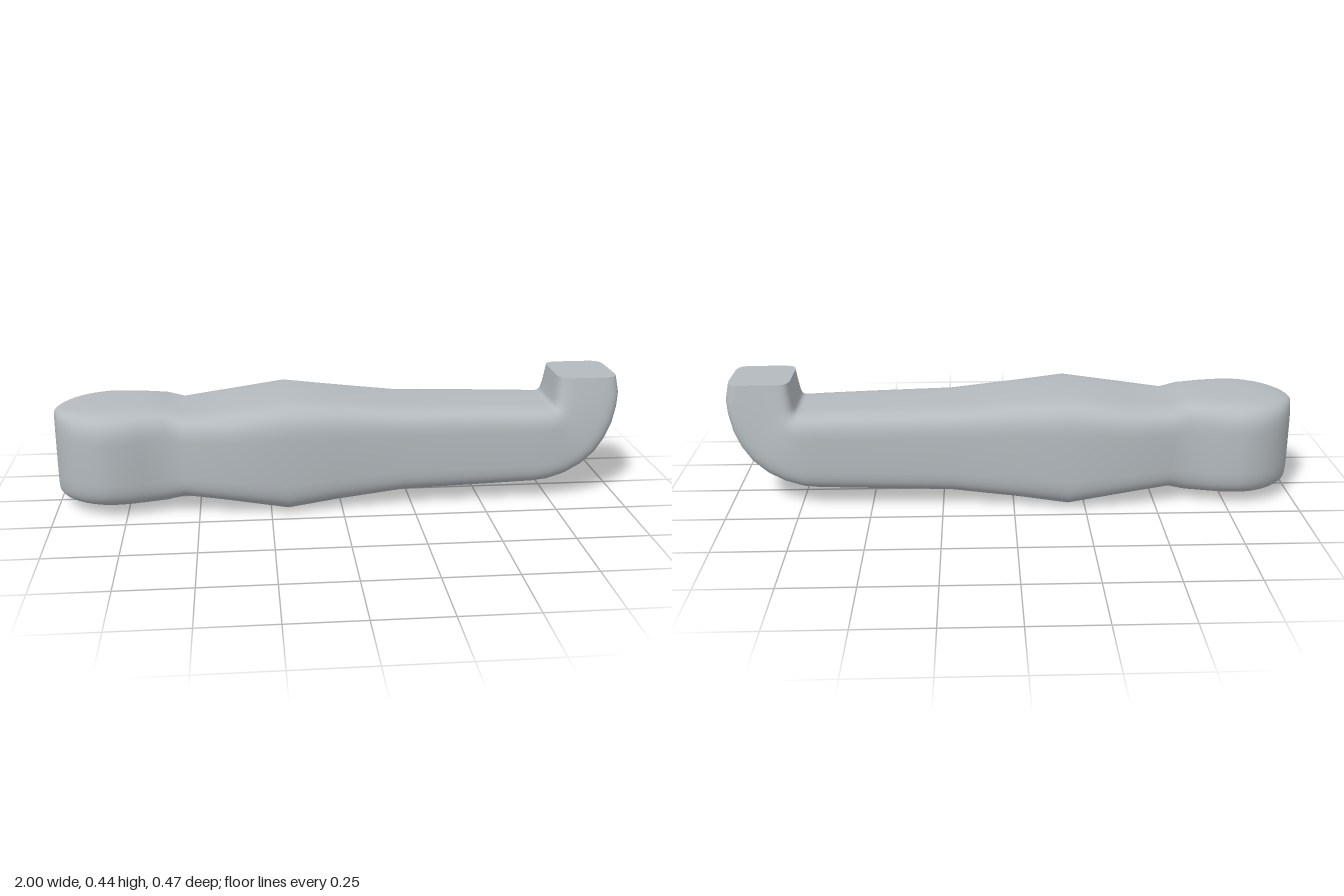
import * as THREE from 'three';
import { mergeVertices } from 'three/addons/utils/BufferGeometryUtils.js';

const SIDES = 48;

// Rounded-square ring spanned between a bottom and a top point, with half width w
function ring([bx, by, tx, ty, w, n = 4.7]) {
  const points = [];
  for (let j = 0; j < SIDES; j++) {
    const a = (j / SIDES) * Math.PI * 2;
    const soft = (v) => (Math.abs(v) < 1e-9 ? 0 : Math.sign(v) * Math.abs(v) ** (2 / n));
    const k = (soft(Math.sin(a)) + 1) / 2;
    points.push([bx + (tx - bx) * k, by + (ty - by) * k, w * soft(Math.cos(a))]);
  }
  return points;
}

// Skin joining successive rings
function loft(sections) {
  const index = [];
  for (let i = 0; i < sections.length - 1; i++) {
    for (let j = 0; j < SIDES; j++) {
      const a = i * SIDES + j, b = i * SIDES + ((j + 1) % SIDES);
      index.push(a, a + SIDES, b, b, a + SIDES, b + SIDES);
    }
  }
  let geometry = new THREE.BufferGeometry();
  geometry.setAttribute('position', new THREE.Float32BufferAttribute(sections.flatMap(ring).flat(), 3));
  geometry.setIndex(index);
  geometry = mergeVertices(geometry, 1e-5);
  geometry.computeVertexNormals();
  return geometry;
}

// Flat face closing the last ring
function endFace(section) {
  const [bx, by, tx, ty] = section;
  const index = [];
  for (let j = 0; j < SIDES; j++) index.push(0, 1 + ((j + 1) % SIDES), 1 + j);
  const geometry = new THREE.BufferGeometry();
  const points = [(bx + tx) / 2, (by + ty) / 2, 0, ...ring(section).flat()];
  geometry.setAttribute('position', new THREE.Float32BufferAttribute(points, 3));
  geometry.setIndex(index);
  geometry.computeVertexNormals();
  return geometry;
}

export function createModel() {
  const grey = new THREE.MeshStandardMaterial({ color: 0xb4babe });
  grey.name = 'lightGrey';

  // Round nose, half a circle in plan
  const nose = [];
  for (let i = 0; i <= 12; i++) {
    const t = (i / 12) * (Math.PI / 2);
    const x = -0.79 - 0.21 * Math.cos(t);
    const h = 0.138 + 0.033 * Math.sin(t);
    nose.push([x, 0.198 - h, x, 0.198 + h, 0.213 * Math.sin(t)]);
  }

  // Upright body stations: x, bottom, top, half width
  const body = [
    [-0.74, 0.027, 0.369, 0.207],
    [-0.69, 0.028, 0.369, 0.195],
    [-0.61, 0.03, 0.367, 0.174],
    [-0.55, 0.048, 0.347, 0.186],
    [-0.4, 0.035, 0.362, 0.221],
    [-0.19, 0, 0.392, 0.233],
    [-0.02, 0.019, 0.376, 0.206],
    [0.22, 0.044, 0.352, 0.184],
    [0.5, 0.051, 0.345, 0.176],
    [0.69, 0.056, 0.339, 0.17],
  ].map(([x, b, t, w]) => [x, b, x, t, w]);

  // Stations fanning around the upturned end
  const bend = [
    [0.74, 0.061, 0.735, 0.337, 0.168],
    [0.81, 0.082, 0.745, 0.337, 0.163],
    [0.87, 0.114, 0.752, 0.339, 0.157],
    [0.92, 0.157, 0.757, 0.343, 0.151, 4.8],
    [0.957, 0.21, 0.76, 0.35, 0.144, 5],
    [0.982, 0.268, 0.763, 0.362, 0.138, 5.2],
    [0.996, 0.33, 0.766, 0.38, 0.131, 5.4],
    [1, 0.38, 0.77, 0.405, 0.124, 5.6],
    [0.988, 0.44, 0.775, 0.44, 0.115, 6],
  ];

  const group = new THREE.Group();
  group.name = 'handle';
  const grip = new THREE.Mesh(loft([...nose, ...body, ...bend]), grey);
  grip.name = 'gripBody';
  const face = new THREE.Mesh(endFace(bend[bend.length - 1]), grey);
  face.name = 'mountingFace';
  group.add(grip, face);
  return group;
}
